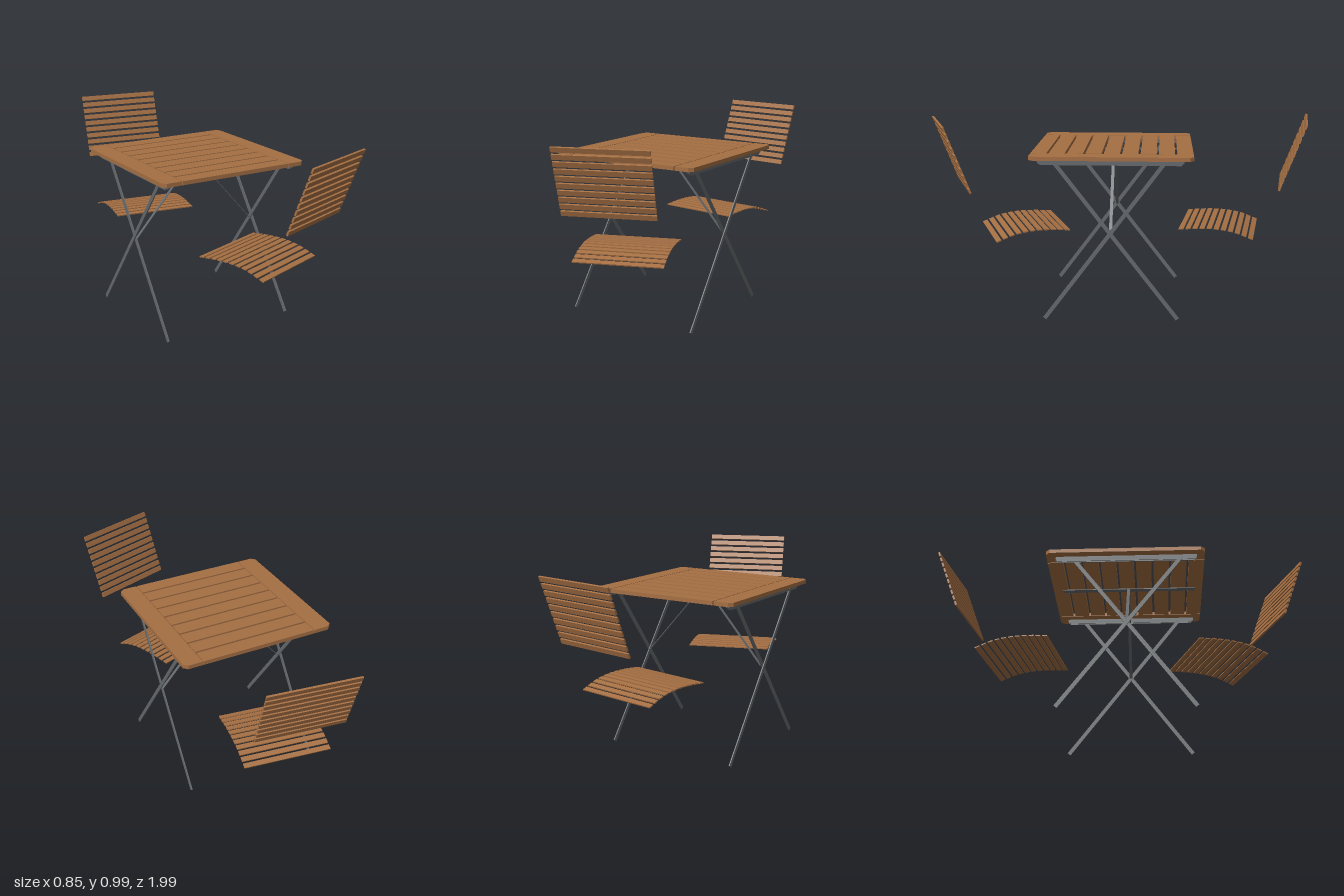
import * as THREE from 'three';

const wood = new THREE.MeshStandardMaterial({ color: 0xa56f43 });
wood.name = 'warm wood';
const steel = new THREE.MeshStandardMaterial({ color: 0x65696c });
steel.name = 'grey steel';

function box(parent, name, material, size, position) {
  const mesh = new THREE.Mesh(new THREE.BoxGeometry(...size), material);
  mesh.name = name;
  mesh.position.set(...position);
  parent.add(mesh);
  return mesh;
}

// Flat steel bar between two points, wide in the plane given by rotation
function legBar(parent, name, x, [z0, y0], [z1, y1]) {
  const length = Math.hypot(z1 - z0, y1 - y0);
  const bar = box(parent, name, steel, [0.006, length, 0.02], [x, (y0 + y1) / 2, (z0 + z1) / 2]);
  bar.rotation.x = Math.atan2(z1 - z0, y1 - y0);
}

// End board with its two outer corners cut; side is -1 or 1
function endBoard(parent, inner, outer, zBack, zFront) {
  const cut = 0.02 * Math.sign(outer - inner);
  const shape = new THREE.Shape([
    [inner, -zFront], [outer - cut, -zFront], [outer, -zFront + 0.02],
    [outer, -zBack - 0.02], [outer - cut, -zBack], [inner, -zBack],
  ].map(([x, y]) => new THREE.Vector2(x, y)));
  const geometry = new THREE.ExtrudeGeometry(shape, { depth: 0.02, bevelEnabled: false });
  geometry.rotateX(-Math.PI / 2);
  const mesh = new THREE.Mesh(geometry, wood);
  mesh.name = 'endBoard';
  mesh.position.y = 0.83;
  parent.add(mesh);
}

// Steel channel under an end board: two side walls and a web
function rail(parent, x) {
  const shape = new THREE.Shape([
    [-0.39, 0.827], [-0.39, 0.815], [-0.375, 0.802], [0.318, 0.802], [0.333, 0.815], [0.333, 0.827],
  ].map(([z, y]) => new THREE.Vector2(z, y)));
  for (const offset of [-0.0065, 0.0065]) {
    const geometry = new THREE.ExtrudeGeometry(shape, { depth: 0.004, bevelEnabled: false });
    geometry.translate(0, 0, -0.002);
    geometry.rotateY(Math.PI / 2);
    const wall = new THREE.Mesh(geometry, steel);
    wall.name = 'railWall';
    wall.position.x = x + offset;
    parent.add(wall);
  }
  box(parent, 'railWeb', steel, [0.017, 0.004, 0.72], [x, 0.827, 0.03]);
}

function createTable() {
  const table = new THREE.Group();
  table.name = 'table';

  // Top: nine slats between two end boards
  for (let i = 0; i < 9; i++) {
    box(table, 'topSlat', wood, [0.608, 0.02, 0.08], [-0.022, 0.84, -0.34 + i * 0.0913]);
  }
  endBoard(table, -0.331, -0.43, -0.38, 0.43);
  endBoard(table, 0.287, 0.382, -0.38, 0.43);

  // Folding frame: crossed legs, rails and sloping braces
  for (const x of [-0.382, 0.3355]) {
    rail(table, x);
    legBar(table, 'frontFootLeg', x + 0.0065, [0.366, 0.008], [-0.237, 0.815]);
    legBar(table, 'backFootLeg', x - 0.0065, [-0.31, 0.008], [0.31, 0.815]);
  }
  box(table, 'centreBar', steel, [0.03, 0.004, 0.72], [-0.023, 0.827, 0.03]);
  for (const [x0, x1] of [[-0.37, -0.036], [0.325, -0.01]]) {
    const dx = x1 - x0, dy = 0.376;
    const brace = box(table, 'brace', steel, [0.003, Math.hypot(dx, dy), 0.016],
      [(x0 + x1) / 2, 0.45 + dy / 2, 0.03]);
    brace.rotation.z = -Math.atan2(dx, dy);
  }
  return table;
}

// Chair slats; local +z points away from the table, z = 0 at the back's top edge
function createChair(name, x, z, turn) {
  const chair = new THREE.Group();
  chair.name = name;
  const lean = 0.35;
  for (let i = 0; i < 10; i++) {
    const t = i / 9;
    const slat = box(chair, 'backSlat', wood, [0.449, 0.025, 0.01],
      [0, 0.673 + 0.31 * t, -0.125 + 0.115 * t]);
    slat.rotation.x = lean;
  }

  // Seat slats follow a gentle curve dropping at the outer edge
  const curve = new THREE.CatmullRomCurve3([
    [0.440, -0.63], [0.449, -0.535], [0.450, -0.44], [0.437, -0.345], [0.404, -0.25],
  ].map(([py, pz]) => new THREE.Vector3(0, py, pz)));
  for (let i = 0; i < 11; i++) {
    const u = 0.033 + 0.934 * i / 10;
    const p = curve.getPointAt(u), d = curve.getTangentAt(u);
    const slat = box(chair, 'seatSlat', wood, [0.447, 0.006, 0.026], [0, p.y, p.z]);
    slat.rotation.x = -Math.atan2(d.y, d.z);
  }
  chair.position.set(x, 0, z);
  chair.rotation.y = turn;
  return chair;
}

export function createModel() {
  const model = new THREE.Group();
  model.name = 'gardenTableSet';
  model.add(createTable());
  model.add(createChair('frontChair', 0.2115, 0.9125, 0.345));
  model.add(createChair('backChair', 0.037, -0.968, Math.PI - 0.142));
  return model;
}
